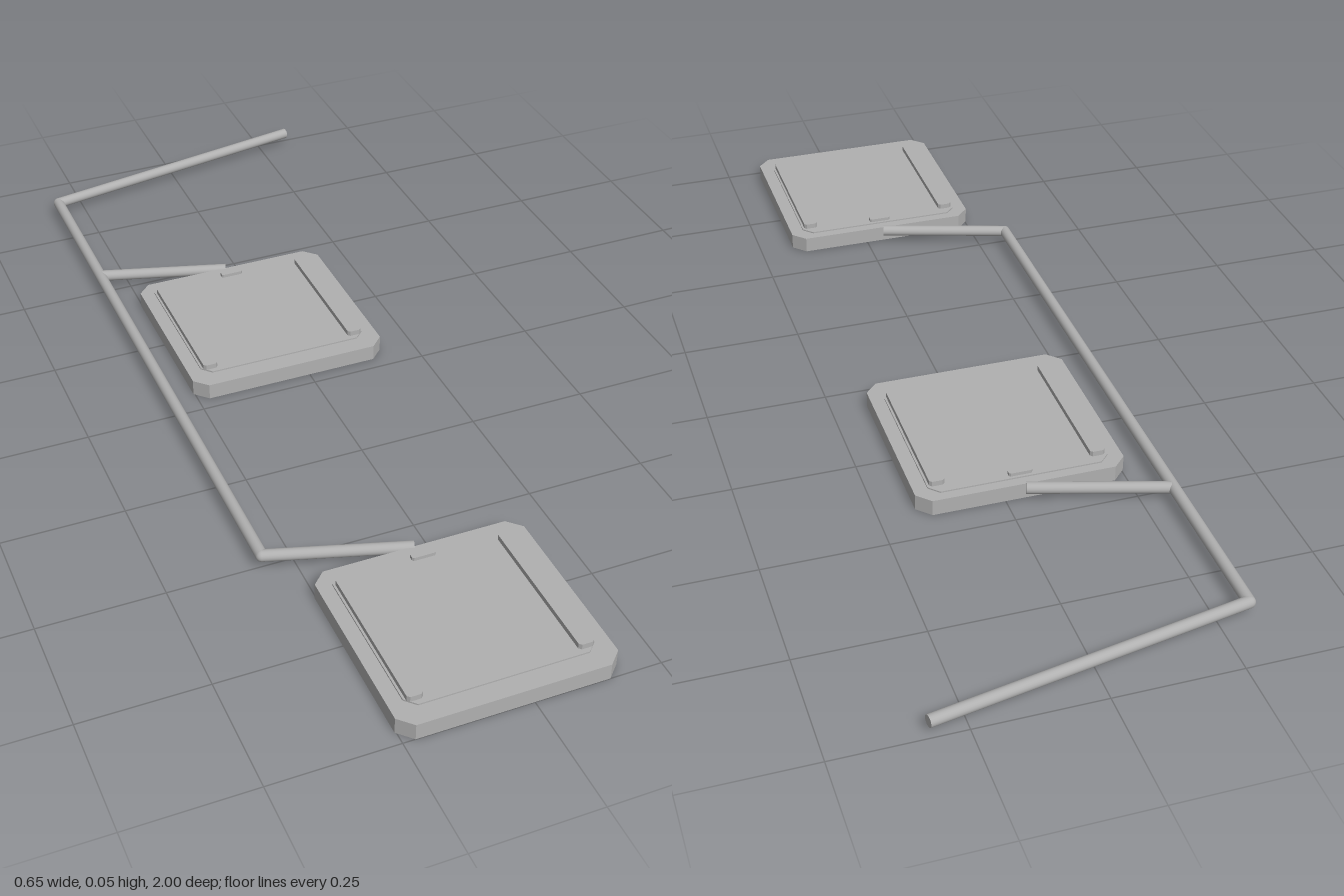
import * as THREE from 'three';

export function createModel() {
  const model = new THREE.Group();
  const grey = new THREE.MeshStandardMaterial({ color: 0xb0b0b0 });
  grey.name = 'plain grey';

  const add = (parent, name, geometry, x = 0, y = 0, z = 0) => {
    const mesh = new THREE.Mesh(geometry, grey);
    mesh.name = name;
    mesh.position.set(x, y, z);
    parent.add(mesh);
    return mesh;
  };

  // Flat slab with cut corners, standing on its own y = 0
  const slab = (w, d, h, cut) => {
    const a = w / 2, b = d / 2;
    const shape = new THREE.Shape([
      [-a + cut, -b], [a - cut, -b], [a, -b + cut], [a, b - cut],
      [a - cut, b], [-a + cut, b], [-a, b - cut], [-a, -b + cut],
    ].map(([x, y]) => new THREE.Vector2(x, y)));
    return new THREE.ExtrudeGeometry(shape, { depth: h, bevelEnabled: false }).rotateX(-Math.PI / 2);
  };

  // Two identical pads, each with a panel, side rails and a rear tab
  for (const [name, z] of [['frontPad', 0.795], ['rearPad', -0.235]]) {
    const pad = new THREE.Group();
    pad.name = name;
    pad.position.set(-0.039, 0, z);
    add(pad, 'padBase', slab(0.428, 0.41, 0.034, 0.027));
    add(pad, 'padPanel', slab(0.37, 0.35, 0.003, 0.02), 0, 0.034, -0.01);
    for (const side of [-1, 1]) {
      add(pad, 'padRail', slab(0.031, 0.32, 0.012, 0.005), side * 0.165, 0.036, -0.005);
    }
    add(pad, 'padTab', slab(0.048, 0.015, 0.008, 0.003), 0, 0.036, -0.172);
    model.add(pad);
  }

  // Round pipe between two points of the ground plan
  const radius = 0.012, pipeY = 0.028;
  const pipe = (name, [x1, z1], [x2, z2]) => {
    const length = Math.hypot(x2 - x1, z2 - z1);
    const geometry = new THREE.CylinderGeometry(radius, radius, length, 20).rotateX(Math.PI / 2);
    const mesh = add(model, name, geometry, (x1 + x2) / 2, pipeY, (z1 + z2) / 2);
    mesh.rotation.y = Math.atan2(x2 - x1, z2 - z1);
  };
  const frontBend = [-0.312, 0.5], rearBend = [-0.312, -0.872], branch = [-0.308, -0.525];
  pipe('mainPipe', frontBend, rearBend);
  pipe('supplyPipe', rearBend, [0.32, -0.988]);
  pipe('frontBranch', frontBend, [-0.039, 0.585]);
  pipe('rearBranch', branch, [-0.039, -0.445]);

  // Rounded joints where the pipes turn
  for (const [x, z] of [frontBend, rearBend]) {
    add(model, 'pipeJoint', new THREE.SphereGeometry(radius, 20, 12), x, pipeY, z);
  }
  return model;
}
